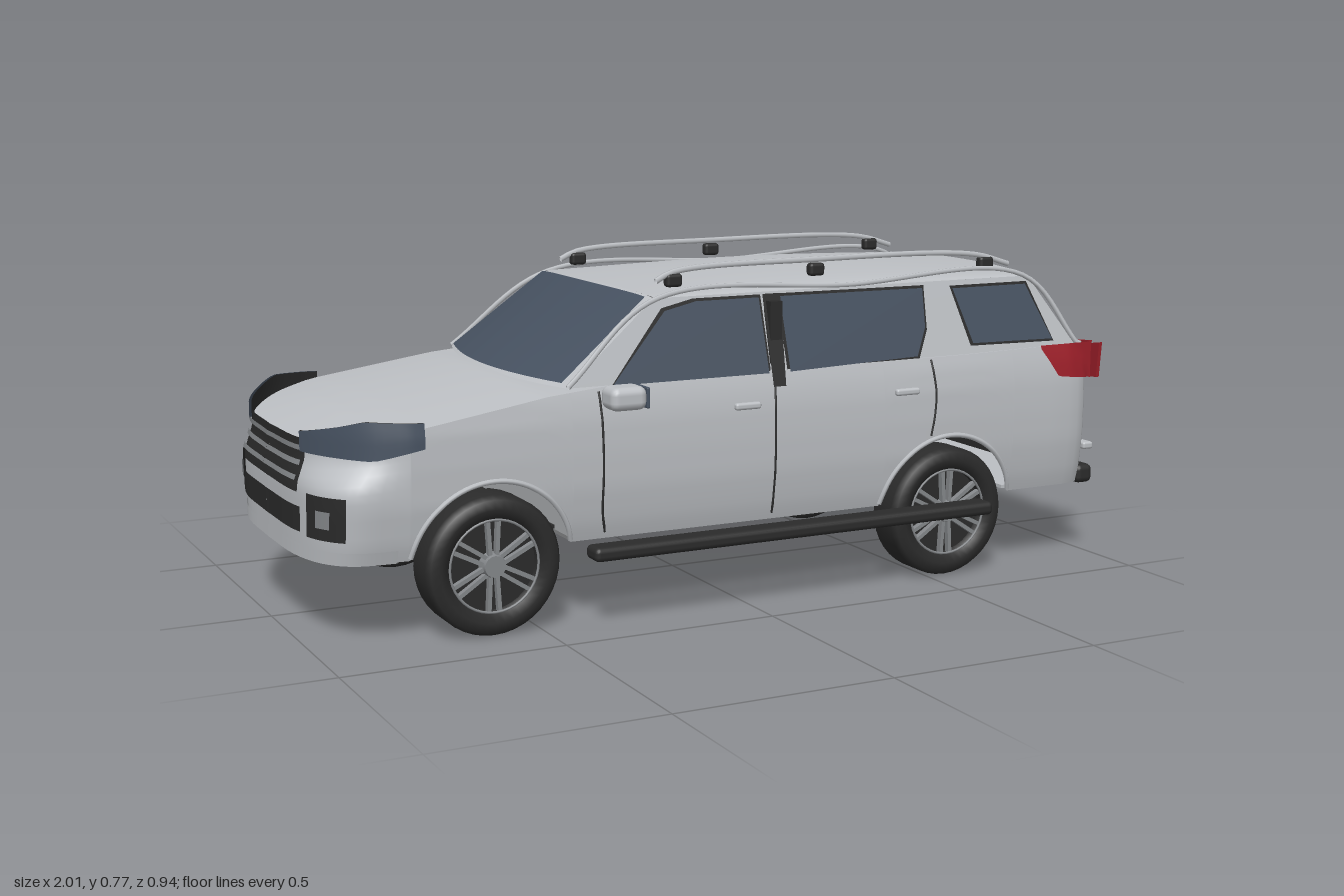
import * as THREE from 'three';
import { RoundedBoxGeometry } from 'three/addons/geometries/RoundedBoxGeometry.js';

const mat = (name, color) => new THREE.MeshStandardMaterial({ name, color, side: THREE.DoubleSide });
const V = (x, y, z) => new THREE.Vector3(x, y, z);
const lerp = THREE.MathUtils.lerp;

// piecewise linear lookup in [[in, out], ...]
function table(pts, x) {
  if (x <= pts[0][0]) return pts[0][1];
  for (let i = 1; i < pts.length; i++) {
    const [a, b] = [pts[i - 1], pts[i]];
    if (x <= b[0]) return lerp(a[1], b[1], (x - a[0]) / (b[0] - a[0]));
  }
  return pts[pts.length - 1][1];
}

// grid surface from f(u, v) -> Vector3, u and v in 0..1
function surf(f, nu, nv) {
  const pos = [], idx = [];
  for (let i = 0; i <= nu; i++) for (let j = 0; j <= nv; j++) pos.push(...f(i / nu, j / nv).toArray());
  for (let i = 0; i < nu; i++) for (let j = 0; j < nv; j++) {
    const a = i * (nv + 1) + j, b = a + nv + 1;
    idx.push(a, b, a + 1, b, b + 1, a + 1);
  }
  const g = new THREE.BufferGeometry();
  g.setAttribute('position', new THREE.Float32BufferAttribute(pos, 3));
  g.setIndex(idx);
  g.computeVertexNormals();
  return g;
}

const outlineShape = pts => new THREE.Shape(pts.map(p => new THREE.Vector2(...p)));
const polygon = pts => new THREE.ShapeGeometry(outlineShape(pts));
const tube = (pts, r, n = 24) => new THREE.TubeGeometry(new THREE.CatmullRomCurve3(pts), n, r, 6);

// body outline and heights
const WHEELS = [-0.61, 0.55], AXLE = 0.155, ARCH = 0.187, SILL = 0.185;
const bumperCurve = new THREE.CatmullRomCurve3([V(-0.997, 0, 0), V(-0.99, 0, 0.2), V(-0.96, 0, 0.31), V(-0.91, 0, 0.364), V(-0.8, 0, 0.38)]);
const hoodCurve = new THREE.CatmullRomCurve3([V(-0.985, 0, 0), V(-0.97, 0, 0.2), V(-0.92, 0, 0.295), V(-0.865, 0, 0.35), V(-0.797, 0, 0.38)]);
const width = x => table([[-0.81, 0.38], [-0.3, 0.376], [0.5, 0.378], [0.9, 0.374], [0.95, 0.362], [0.97, 0.33]], x);
const inset = y => table([[0.18, 0.935], [0.22, 0.965], [0.3, 0.995], [0.38, 1], [0.45, 0.995], [0.5, 0.975], [0.54, 0.945]], y);
const topY = x => table([[-1, 0.42], [-0.93, 0.435], [-0.77, 0.468], [-0.48, 0.512], [-0.3, 0.528], [0.6, 0.53], [0.9, 0.535]], x);
const sideZ = (x, y) => width(x) * inset(y);
const cabinZ = y => 0.355 - (y - 0.525) * 0.264;
// nose plan: boxy at the bumper, raked back at the lamps; t > 1 runs on along the fender
function noseAt(t, y) {
  const p = bumperCurve.getPoint(Math.min(t, 1)).lerp(hoodCurve.getPoint(Math.min(t, 1)), THREE.MathUtils.smoothstep(y, 0.33, 0.41));
  p.x += Math.max(0, t - 1) * 0.4;
  return p;
}
function bottomY(x) {
  for (const c of WHEELS) if (Math.abs(x - c) < ARCH) return Math.max(SILL, AXLE + Math.sqrt(ARCH ** 2 - (x - c) ** 2));
  return SILL;
}
// plan outline as functions of height, from nose centre to tail centre
function outline() {
  const pts = [];
  for (let i = 0; i <= 16; i++) pts.push(y => noseAt(i / 16, y));
  const xs = [-0.35, -0.2, 0, 0.15, 0.3, 0.78, 0.84, 0.9, 0.93, 0.95];
  for (const c of WHEELS) for (let i = 0; i <= 28; i++) xs.push(c - 0.1846 * Math.cos(Math.PI * i / 28));
  xs.sort((a, b) => a - b).forEach(x => pts.push(() => V(x, 0, width(x))));
  for (const [x, z] of [[0.965, 0.345], [0.975, 0.3], [0.98, 0.15], [0.98, 0]]) pts.push(() => V(x, 0, z));
  return pts;
}

export function createModel() {
  const car = new THREE.Group();
  car.name = 'car';
  const paint = mat('silver paint', 0xbcbfc3), glass = mat('tinted glass', 0x465160), black = mat('black trim', 0x2b2b2b);
  const red = mat('red lamp', 0x9c1f29), alloy = mat('alloy', 0x85888b), under = mat('underbody grey', 0x86888a);
  const add = (name, geo, m, x = 0, y = 0, z = 0, parent = car) => {
    const mesh = new THREE.Mesh(geo, m);
    mesh.name = name;
    mesh.position.set(x, y, z);
    parent.add(mesh);
  };
  const box = (name, m, w, h, d, x, y, z, r = 0.008) => add(name, new RoundedBoxGeometry(w, h, d, 2, r), m, x, y, z);

  // lower shell: side wall with open arches, hood and shoulder cap
  const path = outline(), n = path.length - 1;
  for (const s of [1, -1]) {
    add('bodySide', surf((u, v) => {
      const at = path[Math.round(u * n)], x = at(1).x, y = lerp(bottomY(x), topY(x), v), p = at(y);
      return V(p.x, y, s * p.z * inset(y));
    }, n, 14), paint);
  }
  add('hoodAndShoulder', surf((u, v) => {
    const p = path[Math.round(u * n)](1), t = v * 2 - 1, y = topY(p.x);
    const bulge = table([[-1, 0], [-0.85, 0.02], [-0.5, 0.018], [-0.35, 0], [1, 0]], p.x);
    return V(p.x, y + bulge * (1 - t * t), t * p.z * inset(y));
  }, n, 16), paint);

  // underbody
  const pan = (name, m, x0, x1, w, y) => add(name, new THREE.BoxGeometry(x1 - x0, 0.008, w * 2), m, (x0 + x1) / 2, y, 0);
  pan('floor', under, -0.425, 0.365, 0.345, 0.19);
  pan('rearAxlePanel', glass, 0.365, 0.735, 0.265, 0.2);
  pan('engineTray', black, -0.795, -0.425, 0.265, 0.2);
  pan('rearPan', paint, 0.735, 0.96, 0.33, 0.19);
  add('frontPan', surf((u, v) => {
    const p = noseAt(u, 0.186);
    return V(p.x, 0.186, p.z * inset(0.186) * (v * 2 - 1));
  }, 16, 4), paint);

  // roof, windscreen and rear window share their edges
  const crown = (t, k) => 0.703 + Math.sqrt(Math.max(0, 1 - t * t)) * k;
  add('roof', surf((u, v) => {
    const t = Math.sin((v - 0.5) * Math.PI);
    return V(lerp(-0.22 + 0.02 * t * t, 0.83 - 0.02 * t * t, u), crown(t, 0.012 + 0.02 * Math.sin(Math.PI * u)), t * 0.308);
  }, 24, 24), paint);
  const screen = (x0, x1, curve0, curve1, tMax, lo, hi, dx, dy) => surf((u, v) => {
    const t = (v * 2 - 1) * tMax, h = lerp(lo, hi, u);
    return V(lerp(x0 + curve0 * t * t, x1 + curve1 * t * t, h) + dx, lerp(0.525, crown(t, 0.012), h) + dy, t * lerp(0.355, 0.308, h));
  }, 8, 20);
  add('windscreenFrame', screen(-0.49, -0.22, 0.06, 0.02, 1, 0, 1, 0, 0), paint);
  add('windscreen', screen(-0.49, -0.22, 0.06, 0.02, 0.94, 0.03, 0.97, -0.004, 0.004), glass);
  add('rearWindowFrame', screen(0.955, 0.83, -0.025, -0.02, 1, 0, 1, 0, 0), paint);
  add('rearWindow', screen(0.955, 0.83, -0.025, -0.02, 0.88, 0.03, 0.89, 0.005, 0.003), glass);

  const cabinPlate = (name, pts, m, s, off) => {
    const g = polygon(pts), p = g.attributes.position;
    for (let i = 0; i < p.count; i++) p.setZ(i, s * (cabinZ(p.getY(i)) + off));
    g.computeVertexNormals();
    add(name, g, m);
  };
  const grow = (pts, d) => {
    const cx = pts.reduce((a, p) => a + p[0], 0) / pts.length, cy = pts.reduce((a, p) => a + p[1], 0) / pts.length;
    return pts.map(([x, y]) => [x + Math.sign(x - cx) * d, y + Math.sign(y - cy) * d]);
  };
  const windows = {
    frontWindow: [[-0.325, 0.524], [0.065, 0.524], [0.06, 0.692], [-0.1, 0.692], [-0.18, 0.675]],
    rearDoorWindow: [[0.12, 0.524], [0.465, 0.535], [0.495, 0.6], [0.5, 0.69], [0.115, 0.692]],
    quarterWindow: [[0.625, 0.555], [0.855, 0.552], [0.795, 0.685], [0.585, 0.685]],
  };
  // plate on the nose following its plan curve
  const nosePlate = (name, m, s, t0, t1, low, high, off) => add(name, surf((u, v) => {
    const t = lerp(t0, t1, u), y = lerp(table(low, t), table(high, t), v);
    const p = noseAt(t, y), d = bumperCurve.getTangent(Math.min(t, 1));
    return V(p.x - d.z * off, y, s * (p.z * inset(y) + d.x * off));
  }, 16, 5), m);
  const flat = y => [[0, y]];

  for (const s of [1, -1]) {
    // cabin side
    cabinPlate('cabinSide', [[-0.43, 0.525], [0.93, 0.525], [0.81, 0.703], [-0.2, 0.703]], paint, s, 0);
    for (const [name, pts] of Object.entries(windows)) {
      cabinPlate(name + 'Trim', grow(pts, 0.006), black, s, 0.003);
      cabinPlate(name, pts, glass, s, 0.006);
    }
    cabinPlate('centrePillar', [[0.068, 0.495], [0.1, 0.495], [0.112, 0.7], [0.066, 0.7]], black, s, 0.014);
    add('pillarTrim', new THREE.BoxGeometry(0.03, 0.16, 0.03), black, 0.088, 0.605, s * 0.335);
    add('dripRail', tube([V(-0.43, 0.527, s * 0.357), V(-0.2, 0.7, s * 0.311), V(0.3, 0.708, s * 0.311), V(0.8, 0.703, s * 0.311), V(0.93, 0.535, s * 0.355)], 0.006, 60), paint);

    // door seams, handles, arch lips
    const seam = pts => {
      const line = new THREE.CatmullRomCurve3(pts.map(p => V(...p, 0))).getPoints(30);
      add('doorSeam', tube(line.map(({ x, y }) => V(x, y, s * (sideZ(x, y) - 0.0005))), 0.003, 60), black);
    };
    seam([[-0.36, 0.515], [-0.356, 0.45], [-0.354, 0.35], [-0.354, 0.25], [-0.345, 0.2]]);
    seam([[0.078, 0.52], [0.075, 0.45], [0.075, 0.35], [0.075, 0.25], [0.075, 0.2]]);
    seam([[0.5, 0.525], [0.508, 0.45], [0.505, 0.4], [0.495, 0.345]]);
    for (const x of [0, 0.425]) box('doorHandle', paint, 0.065, 0.016, 0.016, x, 0.457, s * 0.379, 0.006);
    for (const c of WHEELS) {
      const lip = [];
      for (let i = 0; i <= 20; i++) {
        const a = Math.PI * lerp(0.06, 0.94, i / 20), x = c + ARCH * Math.cos(a), y = AXLE + ARCH * Math.sin(a);
        lip.push(V(x, y, s * sideZ(x, y)));
      }
      add('archLip', tube(lip, 0.006, 40), paint);
    }

    // running board and mirror
    box('runningBoard', black, 1.04, 0.032, 0.06, 0.12, 0.167, s * 0.405, 0.012);
    box('mirrorShell', paint, 0.085, 0.052, 0.07, -0.333, 0.511, s * 0.436, 0.018);
    box('mirrorGlass', glass, 0.008, 0.046, 0.062, -0.289, 0.511, s * 0.436, 0.003);
    box('mirrorArm', black, 0.03, 0.016, 0.05, -0.325, 0.508, s * 0.38, 0.006);

    // roof rail
    add('roofRail', tube([V(-0.175, 0.735, s * 0.266), V(-0.13, 0.754, s * 0.264), V(0.24, 0.765, s * 0.262), V(0.68, 0.757, s * 0.264), V(0.78, 0.73, s * 0.266)], 0.007, 40), paint);
    for (const [x, y] of [[-0.13, 0.735], [0.24, 0.742], [0.715, 0.735]]) box('railFoot', black, 0.04, 0.03, 0.024, x, y, s * 0.263);

    // nose: grille half, lamp, intakes
    nosePlate('grille', black, s, 0, 0.27, flat(0.325), flat(0.437), 0.004);
    for (const y of [0.35, 0.381, 0.412]) nosePlate('grilleSlat', alloy, s, 0, 0.26, flat(y), flat(y + 0.011), 0.01);
    const low = [[0.25, 0.41], [0.75, 0.405], [1.08, 0.428]], high = [[0.25, 0.453], [0.7, 0.487], [1.08, 0.482]];
    nosePlate('headlampBacking', black, s, 0.24, 1.08, low, high, 0.005);
    nosePlate('headlamp', glass, s, 0.25, 1.08, low, high, 0.011);
    nosePlate('lowerIntake', black, s, 0, 0.3, flat(0.24), flat(0.295), 0.005);
    nosePlate('fogRecess', black, s, 0.36, 0.68, flat(0.235), flat(0.33), 0.005);
    nosePlate('fogLamp', alloy, s, 0.45, 0.56, flat(0.262), flat(0.3), 0.01);
    nosePlate('bumperLip', paint, s, 0, 0.95, flat(0.183), flat(0.212), 0.003);

    // tail lamps
    add('tailLampSide', surf((u, v) => {
      const x = lerp(0.815, 0.968, u);
      const y = lerp(table([[0.815, 0.53], [0.86, 0.462], [0.968, 0.45]], x), 0.538, v);
      return V(x, y, s * (Math.max(sideZ(x, y), 0.352) + 0.01));
    }, 14, 5), red);
    const lamp = pts => add('tailLampRear', new THREE.ExtrudeGeometry(outlineShape(pts.map(([z, y]) => [-s * z, y])), { depth: 0.009, bevelEnabled: false }).rotateY(Math.PI / 2), red, 0.98);
    lamp([[0.338, 0.53], [0.378, 0.537], [0.37, 0.45], [0.348, 0.448]]);
    lamp([[0.3, 0.52], [0.172, 0.496], [0.222, 0.442], [0.3, 0.442]]);
    lamp([[0.338, 0.537], [0.338, 0.524], [0.27, 0.522], [0.27, 0.53]]);
  }

  // tailgate
  const tailgate = new THREE.Shape().moveTo(-0.14, 0.236).lineTo(0.14, 0.236)
    .bezierCurveTo(0.21, 0.32, 0.21, 0.42, 0.14, 0.5).lineTo(-0.14, 0.5).bezierCurveTo(-0.21, 0.42, -0.21, 0.32, -0.14, 0.236);
  add('tailgateInset', polygon([[-0.268, 0.236], [0.268, 0.236], [0.268, 0.5], [-0.268, 0.5]]).rotateY(Math.PI / 2), glass, 0.984);
  add('tailgatePanel', new THREE.ShapeGeometry(tailgate, 16).rotateY(Math.PI / 2), paint, 0.987);
  box('plateRecess', black, 0.008, 0.066, 0.176, 0.989, 0.437, 0, 0.003);
  box('tailgateHandle', black, 0.008, 0.011, 0.06, 0.989, 0.322, 0, 0.003);
  box('tailgateStrip', paint, 0.016, 0.012, 0.33, 0.984, 0.51, 0, 0.004);
  box('rearBumper', black, 0.05, 0.047, 0.7, 0.974, 0.203, 0, 0.015);
  box('bumperRail', paint, 0.03, 0.018, 0.69, 0.985, 0.273, 0, 0.006);

  // wheels
  const tyre = new THREE.LatheGeometry([[0.104, -0.045], [0.125, -0.054], [0.146, -0.05], [0.155, -0.036], [0.155, 0.036], [0.146, 0.05], [0.125, 0.054], [0.104, 0.045], [0.1, 0.02], [0.1, -0.045]]
    .map(p => new THREE.Vector2(...p)), 40).rotateX(Math.PI / 2);
  for (const c of WHEELS) for (const s of [1, -1]) {
    const wheel = new THREE.Group();
    wheel.name = 'wheel';
    wheel.position.set(c, AXLE, s * 0.325);
    wheel.rotation.y = s > 0 ? 0 : Math.PI;
    car.add(wheel);
    add('tyre', tyre, black, 0, 0, 0, wheel);
    add('rimDisc', new THREE.CylinderGeometry(0.103, 0.103, 0.02, 32).rotateX(Math.PI / 2), black, 0, 0, 0.015, wheel);
    add('rimRing', new THREE.TorusGeometry(0.102, 0.003, 6, 40), alloy, 0, 0, 0.045, wheel);
    add('hub', new THREE.CylinderGeometry(0.024, 0.03, 0.025, 16).rotateX(Math.PI / 2), alloy, 0, 0, 0.038, wheel);
    for (let i = 0; i < 6; i++) for (const side of [-1, 1]) {
      const spoke = new THREE.BoxGeometry(0.082, 0.009, 0.014).rotateZ(side * 0.06).translate(0.06, side * 0.01, 0);
      add('spoke', spoke.rotateZ((i + 0.5) * Math.PI / 3), alloy, 0, 0, 0.036, wheel);
    }
  }
  return car;
}
